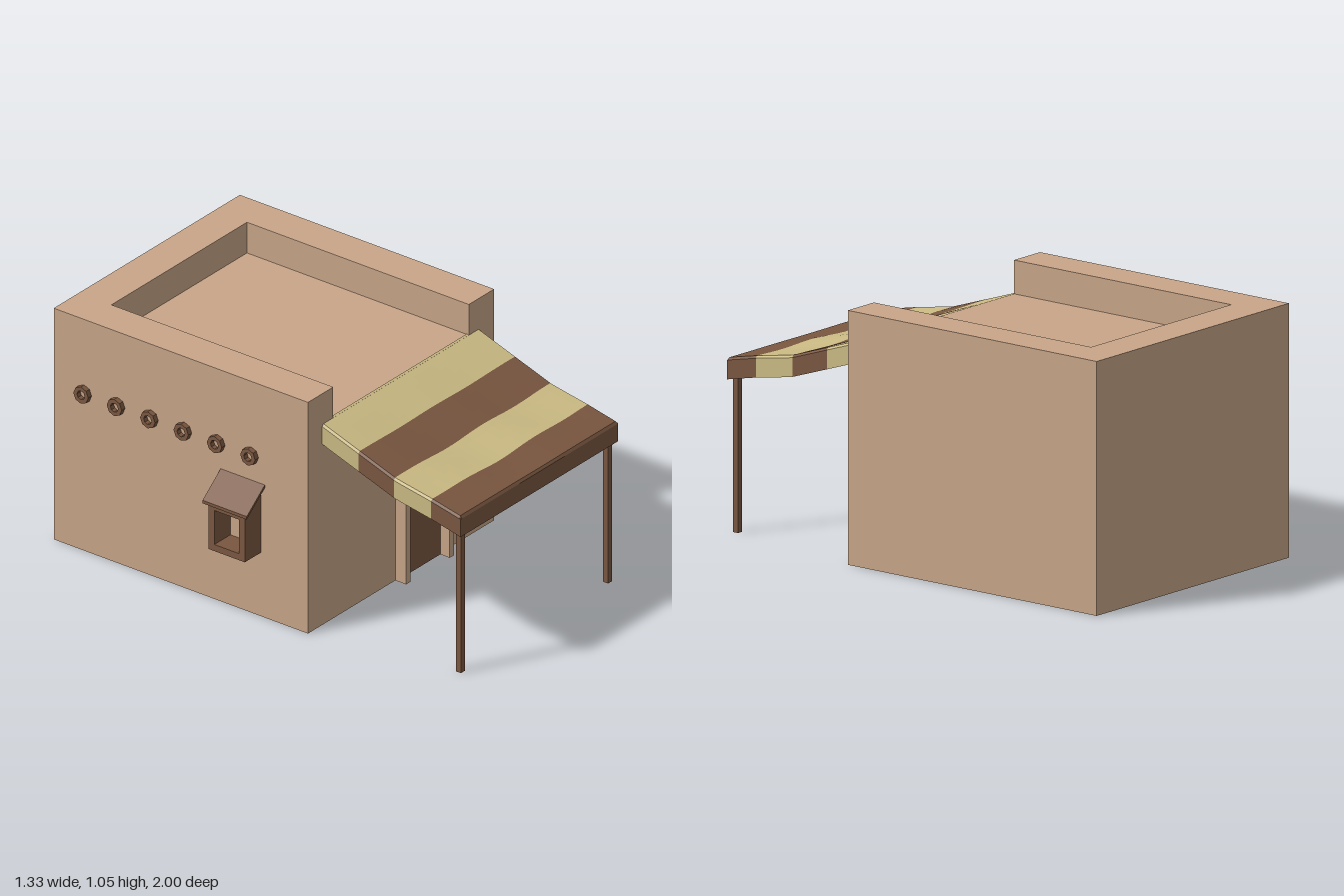
import * as THREE from 'three';

const mat = (name, color) => {
  const m = new THREE.MeshStandardMaterial({ color });
  m.name = name;
  m.side = THREE.DoubleSide;
  return m;
};

// flat-faced surface from a list of four-cornered faces
function quads(list) {
  const pos = [];
  for (const [a, b, c, d] of list) pos.push(...a, ...b, ...c, ...a, ...c, ...d);
  const g = new THREE.BufferGeometry();
  g.setAttribute('position', new THREE.Float32BufferAttribute(pos, 3));
  g.computeVertexNormals();
  return g;
}

function extrude(points, depth, z) {
  const shape = new THREE.Shape(points.map(([x, y]) => new THREE.Vector2(x, y)));
  return new THREE.ExtrudeGeometry(shape, { depth, bevelEnabled: false }).translate(0, 0, z);
}

// box given by its lower and upper corners
function box(x0, x1, y0, y1, z0, z1) {
  return new THREE.BoxGeometry(x1 - x0, y1 - y0, z1 - z0)
    .translate((x0 + x1) / 2, (y0 + y1) / 2, (z0 + z1) / 2);
}

export function createModel() {
  const root = new THREE.Group();
  const clay = mat('clay', 0xc8a588);
  const brown = mat('brown wood', 0x7a5740);
  const straw = mat('straw cloth', 0xcbbb84);
  const add = (name, geometry, material, parent = root) => {
    const m = new THREE.Mesh(geometry, material);
    m.name = name;
    parent.add(m);
    return m;
  };

  // house shell, open below, with a parapet that is open at the front
  const X0 = -0.55, X1 = 0.665, Z0 = -1, Z1 = 0.295, T = 1.055;
  const A = -0.385, B = 0.5, C = -0.835, F = 0.915;
  const frontStrip = (a, b, t) => [[a, 0, Z1], [b, 0, Z1], [b, t, Z1], [a, t, Z1]];
  const level = (a, b, c, d, y) => [[a, y, d], [b, y, d], [b, y, c], [a, y, c]];
  add('houseWalls', quads([
    frontStrip(X0, A, T), frontStrip(A, B, F), frontStrip(B, X1, T),
    [[X1, 0, Z0], [X0, 0, Z0], [X0, T, Z0], [X1, T, Z0]],
    [[X1, 0, Z1], [X1, 0, Z0], [X1, T, Z0], [X1, T, Z1]],
    [[X0, 0, Z0], [X0, 0, Z1], [X0, T, Z1], [X0, T, Z0]],
  ]), clay);
  add('parapet', quads([
    level(X0, A, Z0, Z1, T), level(B, X1, Z0, Z1, T), level(A, B, Z0, C, T),
    [[A, F, C], [B, F, C], [B, T, C], [A, T, C]],
    [[A, F, Z1], [A, F, C], [A, T, C], [A, T, Z1]],
    [[B, F, C], [B, F, Z1], [B, T, Z1], [B, T, C]],
  ]), clay);
  add('roofDeck', quads([level(A, B, C, Z1, F)]), clay);

  // doorway
  add('doorFrame', extrude([
    [0.02, 0], [0.05, 0], [0.05, 0.532], [0.065, 0.545], [0.29, 0.545],
    [0.305, 0.532], [0.305, 0], [0.332, 0], [0.332, 0.575], [0.02, 0.575],
  ], 0.055, Z1), clay);
  add('door', box(0.05, 0.305, 0, 0.545, 0.296, 0.302), brown);

  // striped cloth awning: a hollow sheet with hanging edges
  const awning = new THREE.Group();
  awning.name = 'awning';
  root.add(awning);
  const L = -0.457, R = 0.572, DROP = 0.09;
  const profile = [[0.285, 0.918], [0.485, 0.85], [0.665, 0.789], [0.85, 0.757], [1, 0.725]];
  const topY = z => {
    let i = 0;
    while (i < profile.length - 2 && z > profile[i + 1][0]) i++;
    const [[za, ya], [zb, yb]] = [profile[i], profile[i + 1]];
    return ya + (yb - ya) * (z - za) / (zb - za);
  };
  const sag = (x, z) => {
    const t = (x - L) / (R - L), u = (z - 0.285) / 0.715;
    const wave = 0.5 + 0.5 * Math.sin(13 * t - 5 * u);
    return 0.045 * wave * u * u * (1 - u) * 2 * Math.sin(Math.PI * t);
  };
  const COLS = 24;
  // one line of cloth across the awning; lip lowers it, hem drops it to the bottom edge
  const row = (z, lip = 0, hem = false) => {
    const y = topY(z), low = y - DROP, pts = [[L, low, z], [L, y - Math.max(lip, 0.01), z]];
    for (let i = 0; i <= COLS; i++) {
      const x = L + 0.008 + (R - L - 0.016) * i / COLS;
      pts.push([x, y - lip - sag(x, z), z]);
    }
    pts.push([R, y - Math.max(lip, 0.01), z], [R, low, z]);
    return hem ? pts.map(([x]) => [x, low, z]) : pts;
  };
  const edges = [0.285, 0.48, 0.66, 0.85, 0.992];
  for (let s = 0; s < 4; s++) {
    const rows = [];
    for (let k = 0; k <= 5; k++) rows.push(row(edges[s] + (edges[s + 1] - edges[s]) * k / 5));
    if (s === 3) rows.push(row(1, 0.01), row(1, 0, true));
    const faces = [];
    for (let r = 0; r < rows.length - 1; r++)
      for (let c = 0; c < rows[r].length - 1; c++)
        faces.push([rows[r][c], rows[r + 1][c], rows[r + 1][c + 1], rows[r][c + 1]]);
    add('awningStripe' + (s + 1), quads(faces), s % 2 ? brown : straw, awning);
  }
  for (const [name, x] of [['rightPost', -0.423], ['leftPost', 0.538]])
    add(name, box(x - 0.013, x + 0.013, 0, 0.715, 0.96, 0.985), brown, awning);

  // hollow beam ends along the side wall
  const ring = [[0.02, 0], [0.038, 0], [0.038, 0.022], [0.02, 0.022], [0.02, 0]]
    .map(([r, y]) => new THREE.Vector2(r, y));
  for (let i = 0; i < 6; i++) {
    const g = new THREE.LatheGeometry(ring, 8).toNonIndexed();
    g.computeVertexNormals();
    const beam = add('beamEnd' + (i + 1), g, brown);
    beam.rotation.z = Math.PI / 2;
    beam.position.set(X0, 0.718, -0.845 + 0.17 * i);
  }

  // hooded side window
  const hood = new THREE.Group();
  hood.name = 'sideWindow';
  root.add(hood);
  const cheek = [[-0.655, 0.29], [X0, 0.29], [X0, 0.597], [-0.655, 0.512]];
  for (const z of [-0.13, 0.025]) add('windowCheek', extrude(cheek, 0.03, z), brown, hood);
  add('windowSill', box(-0.655, X0, 0.29, 0.32, -0.1, 0.025), brown, hood);
  add('windowLintel', box(-0.655, X0, 0.475, 0.512, -0.1, 0.025), brown, hood);
  add('windowRoof', extrude(
    [[-0.668, 0.497], [X0, 0.591], [X0, 0.605], [-0.668, 0.511]], 0.225, -0.15), brown, hood);

  return root;
}
